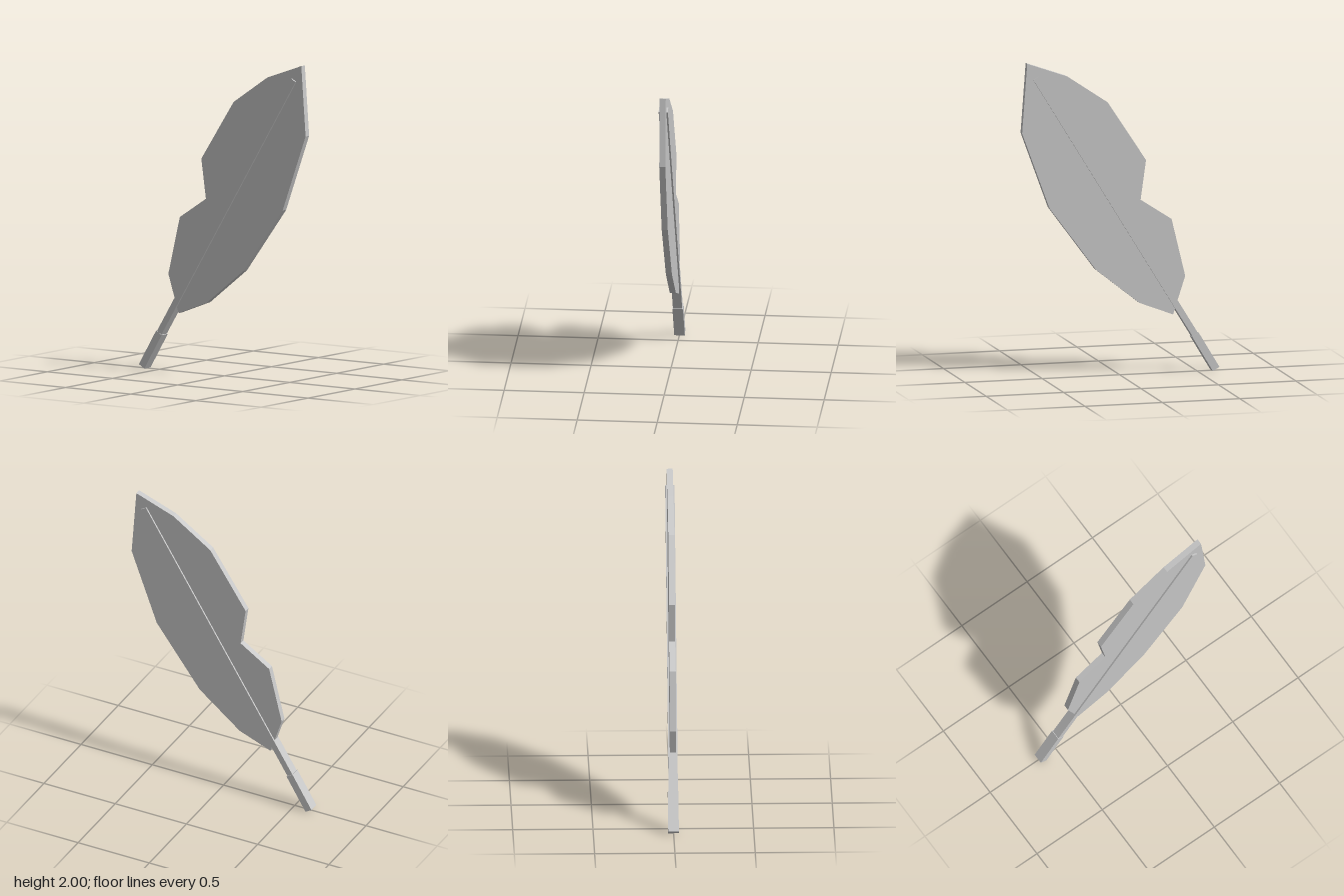
import * as THREE from 'three';

export function createModel() {
  const feather = new THREE.Group();
  feather.name = 'quill';
  const grey = new THREE.MeshStandardMaterial({ color: 0xc8c8c8 });
  grey.name = 'light grey';

  // Vane: flat notched outline with a thin even depth
  const outline = [
    [0.602, 2], [0.342, 1.907], [0.083, 1.732], [-0.165, 1.355], [-0.13, 1.105], [-0.33, 0.974],
    [-0.418, 0.61], [-0.34, 0.369], [-0.123, 0.452], [0.158, 0.675], [0.459, 1.08], [0.635, 1.56],
  ].map(([x, y]) => new THREE.Vector2(x, y));
  const depth = 0.038;
  const vaneGeometry = new THREE.ExtrudeGeometry(new THREE.Shape(outline), { depth, bevelEnabled: false });
  vaneGeometry.translate(0, 0, -depth / 2);
  const vane = new THREE.Mesh(vaneGeometry, grey);
  vane.name = 'vane';
  feather.add(vane);

  // Square bar running between two points of the slanted axis
  function bar(name, from, to, width, thickness, z) {
    const a = new THREE.Vector2(...from), b = new THREE.Vector2(...to);
    const mesh = new THREE.Mesh(new THREE.BoxGeometry(width, a.distanceTo(b), thickness), grey);
    mesh.position.set((a.x + b.x) / 2, (a.y + b.y) / 2, z);
    mesh.rotation.z = Math.atan2(a.x - b.x, b.y - a.y);
    mesh.name = name;
    feather.add(mesh);
  }

  // Shaft through the vane, with a slightly thicker nib below
  bar('shaft', [-0.481, 0.235], [0.547, 1.907], 0.04, 0.058, 0);
  bar('nib', [-0.614, 0.013], [-0.481, 0.235], 0.049, 0.066, -0.001);

  return feather;
}
